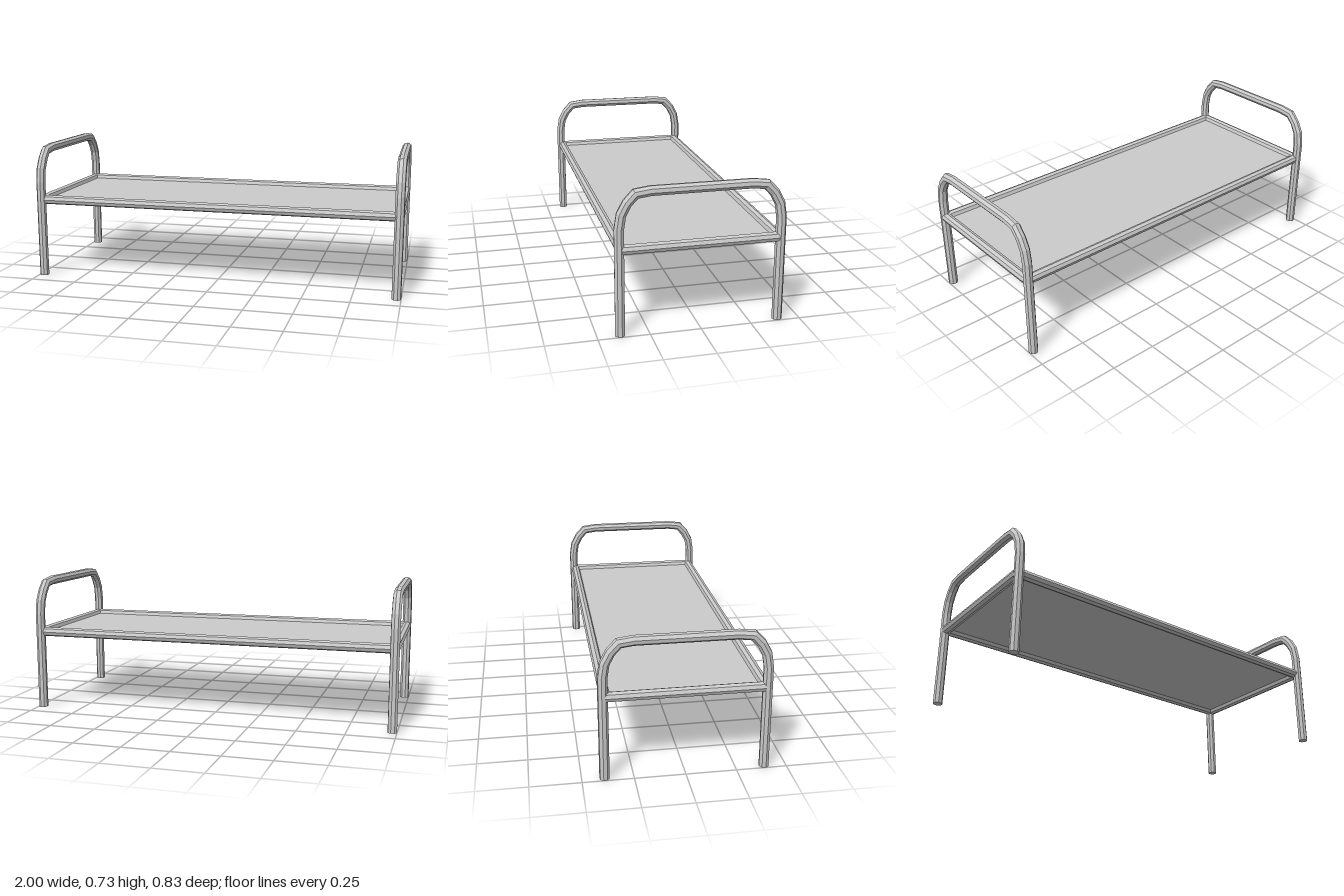
import * as THREE from 'three';

const SIDES = 8, RADIUS = 0.025, PHASE = 0.24;
const END_X = 0.976, RAIL_Z = 0.381, RAIL_Y = 0.429;

// Mitred tube swept along a path of [z, y] points in the YZ plane
function bentTube(path) {
  const pts = path.map(([z, y]) => new THREE.Vector2(z, y));
  const pos = [], idx = [];
  const n = pts.length;
  pts.forEach((p, i) => {
    const before = pts[Math.max(i, 1)].clone().sub(pts[Math.max(i, 1) - 1]).normalize();
    const k = Math.min(i, n - 2);
    const after = pts[k + 1].clone().sub(pts[k]).normalize();
    const t = before.clone().add(after).normalize();
    const miter = RADIUS / t.dot(after);
    for (let j = 0; j < SIDES; j++) {
      const a = PHASE + (j / SIDES) * Math.PI * 2;
      const out = Math.cos(a) * miter;
      pos.push(Math.sin(a) * RADIUS, p.y - t.x * out, p.x + t.y * out);
    }
  });
  for (let i = 0; i < n - 1; i++) {
    for (let j = 0; j < SIDES; j++) {
      const a = i * SIDES + j, b = i * SIDES + ((j + 1) % SIDES);
      idx.push(a, b, b + SIDES, a, b + SIDES, a + SIDES);
    }
  }
  // End caps under the feet
  const last = (n - 1) * SIDES;
  for (let j = 1; j < SIDES - 1; j++) {
    idx.push(0, j + 1, j, last, last + j, last + j + 1);
  }
  const geo = new THREE.BufferGeometry();
  geo.setAttribute('position', new THREE.Float32BufferAttribute(pos, 3));
  geo.setIndex(idx);
  const flat = geo.toNonIndexed();
  flat.computeVertexNormals();
  return flat;
}

export function createModel() {
  const group = new THREE.Group();
  const metal = new THREE.MeshStandardMaterial({ color: 0xcccccc, flatShading: true });
  const sheet = new THREE.MeshStandardMaterial({ color: 0xcccccc, side: THREE.DoubleSide });

  const add = (name, geo, material, x, y, z) => {
    const mesh = new THREE.Mesh(geo, material);
    mesh.name = name;
    mesh.position.set(x, y, z);
    group.add(mesh);
    return mesh;
  };

  // Arched end frames: two legs joined over the top
  const half = [
    [0.391, 0], [0.391, 0.53], [0.38, 0.599], [0.352, 0.652], [0.313, 0.694], [0.243, 0.703],
  ];
  const arch = bentTube([...half, ...half.map(([z, y]) => [-z, y]).reverse()]);
  add('leftEndFrame', arch, metal, END_X, 0, 0);
  add('rightEndFrame', arch, metal, -END_X, 0, 0);

  // Long side rails and short cross rails
  const sideRail = new THREE.CylinderGeometry(RADIUS, RADIUS, END_X * 2, SIDES).rotateZ(Math.PI / 2);
  const crossRail = new THREE.CylinderGeometry(RADIUS, RADIUS, RAIL_Z * 2, SIDES).rotateX(Math.PI / 2);
  for (const s of [1, -1]) {
    add(s > 0 ? 'frontRail' : 'backRail', sideRail, metal, 0, RAIL_Y, s * RAIL_Z);
    add(s > 0 ? 'leftCrossRail' : 'rightCrossRail', crossRail, metal, s * END_X, RAIL_Y, 0);
  }

  // Thin bed surface stretched between the rails
  const bed = new THREE.PlaneGeometry(END_X * 2, RAIL_Z * 2).rotateX(-Math.PI / 2);
  add('bedSurface', bed, sheet, 0, RAIL_Y, 0);

  return group;
}
